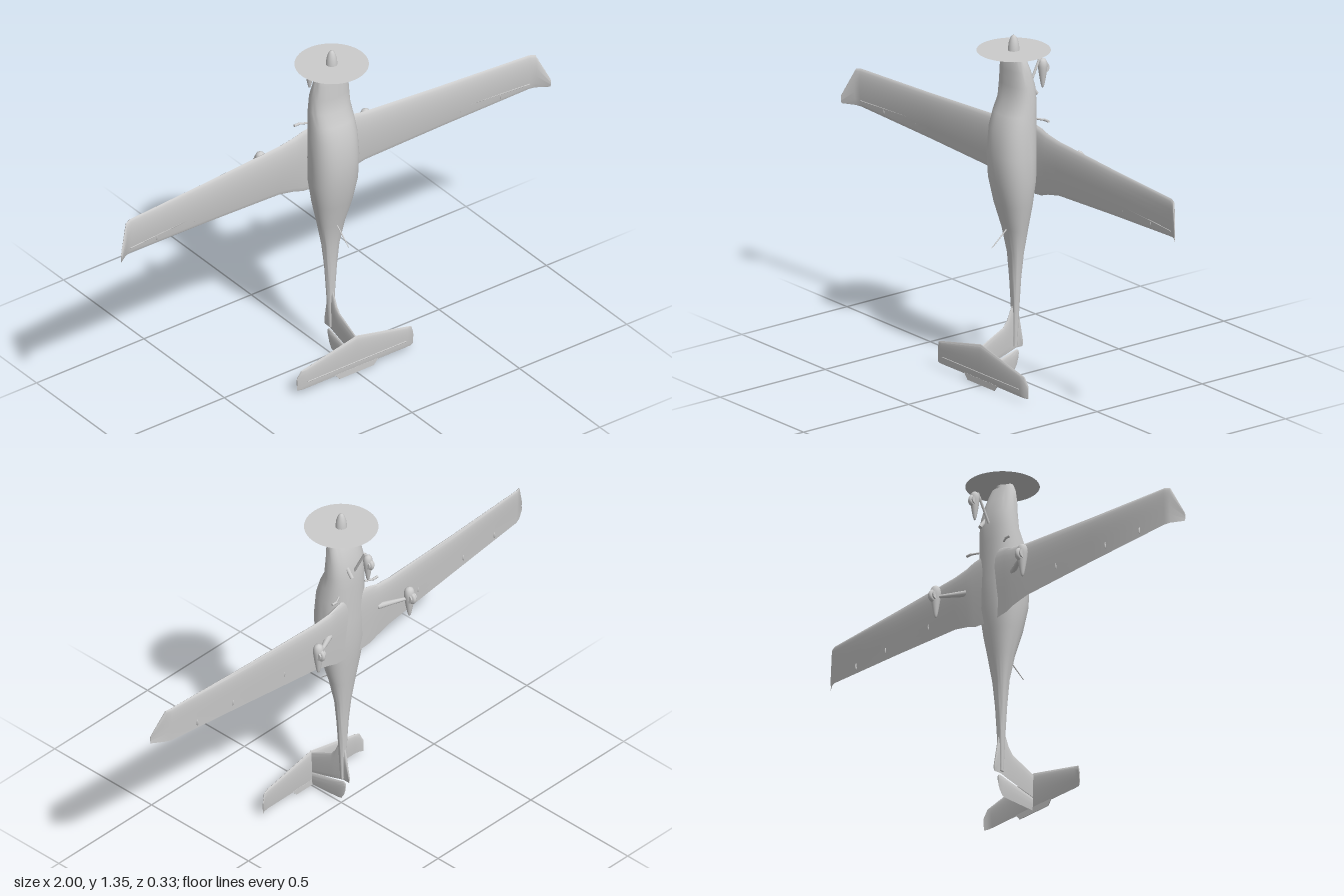
import * as THREE from 'three';
import { toCreasedNormals } from 'three/addons/utils/BufferGeometryUtils.js';

const material = new THREE.MeshStandardMaterial({ color: 0xcccccc });
const thin = new THREE.MeshStandardMaterial({ color: 0xcccccc, side: THREE.DoubleSide });
const V = (x, y, z) => new THREE.Vector3(x, y, z);

function part(parent, name, geometry, mat = material) {
  const mesh = new THREE.Mesh(geometry, mat);
  mesh.name = name;
  parent.add(mesh);
  return mesh;
}

// Skin a list of equal-sized rings, cap both ends, and turn the faces outward
function loft(rings, crease = 0.6) {
  const n = rings[0].length, pos = [], idx = [];
  rings.forEach(r => r.forEach(p => pos.push(p.x, p.y, p.z)));
  for (let i = 0; i < rings.length - 1; i++) {
    for (let j = 0; j < n; j++) {
      const a = i * n + j, b = i * n + (j + 1) % n;
      idx.push(a, b, b + n, a, b + n, a + n);
    }
  }
  [0, rings.length - 1].forEach((k, end) => {
    const c = rings[k].reduce((s, p) => s.add(p), V(0, 0, 0)).divideScalar(n);
    const ci = pos.length / 3;
    pos.push(c.x, c.y, c.z);
    for (let j = 0; j < n; j++) {
      const a = k * n + j, b = k * n + (j + 1) % n;
      if (end) idx.push(ci, a, b); else idx.push(ci, b, a);
    }
  });
  const at = i => V().fromArray(pos, i * 3);
  let volume = 0;
  for (let i = 0; i < idx.length; i += 3) {
    volume += at(idx[i]).dot(at(idx[i + 1]).cross(at(idx[i + 2])));
  }
  if (volume < 0) idx.reverse();
  const g = new THREE.BufferGeometry();
  g.setAttribute('position', new THREE.Float32BufferAttribute(pos, 3));
  g.setIndex(idx);
  return toCreasedNormals(g, crease);
}

// Airfoil ring from leading edge (high y) to trailing edge; place(y, offset) makes the point
function airfoil(le, te, thickness, camber, place) {
  const ring = [], n = 24;
  for (let i = 0; i < n; i++) {
    const t = (i / n) * Math.PI * 2;
    const u = (1 - Math.cos(t)) / 2;
    const f = 5 * (0.2969 * Math.sqrt(u) - 0.126 * u - 0.3516 * u * u + 0.2843 * u ** 3 - 0.1 * u ** 4);
    const side = t < Math.PI ? 1 : -1;
    ring.push(place(le - u * (le - te), side * f * thickness + camber * 4 * u * (1 - u)));
  }
  return ring;
}

// Tapered round bar between two points
function bar(parent, name, a, b, r1, r2 = r1) {
  const mesh = part(parent, name, new THREE.CylinderGeometry(r2, r1, a.distanceTo(b), 10));
  mesh.position.copy(a).add(b).multiplyScalar(0.5);
  mesh.quaternion.setFromUnitVectors(V(0, 1, 0), b.clone().sub(a).normalize());
  return mesh;
}

// Wheel with a teardrop fairing, nose toward +y
function wheelUnit(parent, name, x, y, z, size) {
  const g = new THREE.Group();
  g.name = name;
  const profile = [[0, -0.088], [0.006, -0.08], [0.013, -0.045], [0.019, -0.005], [0.02, 0.02], [0.014, 0.038], [0, 0.046]];
  const curve = new THREE.SplineCurve(profile.map(p => new THREE.Vector2(...p)));
  const pts = curve.getPoints(20).map(p => p.setX(Math.max(p.x, 0)));
  part(g, 'wheelFairing', new THREE.LatheGeometry(pts, 20));
  const tyre = part(g, 'wheel', new THREE.TorusGeometry(0.018, 0.009, 10, 24));
  tyre.rotation.y = Math.PI / 2;
  tyre.position.z = -0.007;
  const hub = part(g, 'hub', new THREE.CylinderGeometry(0.018, 0.018, 0.03, 16));
  hub.rotation.z = Math.PI / 2;
  hub.position.z = -0.007;
  g.position.set(x, y, z);
  g.scale.setScalar(size);
  parent.add(g);
}

export function createModel() {
  const model = new THREE.Group();
  model.name = 'aircraft';

  // Fuselage stations: y, half width, top z, bottom z
  const stations = [
    [0.13, 0.008, 0.002, -0.014], [0.3, 0.018, 0.008, -0.022], [0.4, 0.025, 0.012, -0.026],
    [0.5, 0.036, 0.018, -0.034], [0.6, 0.056, 0.036, -0.047], [0.7, 0.08, 0.065, -0.06],
    [0.8, 0.096, 0.086, -0.071], [0.9, 0.098, 0.093, -0.073], [1.0, 0.095, 0.083, -0.073],
    [1.06, 0.09, 0.064, -0.073], [1.11, 0.086, 0.04, -0.072], [1.17, 0.082, 0.034, -0.066],
    [1.23, 0.074, 0.032, -0.047], [1.27, 0.065, 0.028, -0.031], [1.295, 0.054, 0.02, -0.02],
  ];
  const body = stations.map(([y, w, top, bottom]) => {
    const mid = (top + bottom) / 2, h = (top - bottom) / 2, ring = [];
    for (let i = 0; i < 36; i++) {
      const t = (i / 36) * Math.PI * 2, c = Math.cos(t), s = Math.sin(t);
      ring.push(V(w * Math.sign(c) * Math.abs(c) ** 0.85, y, mid + h * Math.sign(s) * Math.abs(s) ** 0.85));
    }
    return ring;
  });
  part(model, 'fuselage', loft(body, 0.7));

  // Spinner and propeller disc
  const spin = [[0.022, 1.285], [0.022, 1.305], [0.019, 1.33], [0.012, 1.352], [0.005, 1.36], [0, 1.361]];
  part(model, 'spinner', new THREE.LatheGeometry(spin.map(p => new THREE.Vector2(...p)), 24));
  const disc = part(model, 'propellerDisc', new THREE.CircleGeometry(0.139, 48), thin);
  disc.rotation.x = -Math.PI / 2;
  disc.position.y = 1.302;

  // Wing stations: x, leading edge, trailing edge, z, thickness
  const wing = [
    [0, 1.02, 0.73, -0.058, 0.026], [0.09, 1.005, 0.738, -0.06, 0.028], [0.13, 0.992, 0.752, -0.06, 0.028],
    [0.2, 0.983, 0.768, -0.057, 0.026], [0.55, 0.973, 0.793, -0.037, 0.021],
    [0.93, 0.967, 0.817, -0.014, 0.015], [0.953, 0.963, 0.819, -0.006, 0.013], [1.0, 0.855, 0.82, 0.025, 0.003],
  ];
  for (const s of [1, -1]) {
    const side = s > 0 ? 'left' : 'right';
    part(model, side + 'Wing', loft(wing.map(([x, le, te, z, t]) =>
      airfoil(le, te, t, 0.003, (y, o) => V(s * x, y, z + o)))));
    bar(model, side + 'AileronGap', V(s * 0.63, 0.849, -0.026), V(s * 0.93, 0.841, -0.009), 0.002);

    // Control hinges under the wing
    for (const x of [0.36, 0.62, 0.8]) {
      const hinge = part(model, side + 'Hinge', new THREE.SphereGeometry(0.012, 10, 8));
      hinge.scale.set(0.3, 1.2, 0.6);
      hinge.position.set(s * x, 0.835, -0.058 + (x - 0.2) * 0.06);
    }

    // Main landing gear
    bar(model, side + 'GearLeg', V(s * 0.13, 0.89, -0.062), V(s * 0.235, 0.897, -0.115), 0.013, 0.006);
    wheelUnit(model, side + 'MainWheel', s * 0.245, 0.9, -0.117, 1);

    // Boarding step
    bar(model, side + 'Step', V(s * 0.07, 1.037, -0.055), V(s * 0.1, 1.037, -0.07), 0.004);
    bar(model, side + 'StepTread', V(s * 0.097, 1.037, -0.07), V(s * 0.122, 1.037, -0.07), 0.005);
  }

  // Nose gear and exhaust
  bar(model, 'noseGearLeg', V(0, 1.13, -0.068), V(0, 1.238, -0.122), 0.005);
  bar(model, 'noseFork', V(0, 1.238, -0.122), V(0, 1.195, -0.14), 0.006);
  wheelUnit(model, 'noseWheel', 0, 1.2, -0.138, 0.88);
  bar(model, 'exhaust', V(0.03, 1.16, -0.055), V(0.03, 1.12, -0.085), 0.008);

  // Upright tail surfaces, stations: z, leading edge, trailing edge, thickness
  const upright = (name, rows) => part(model, name, loft(rows.map(([z, le, te, t]) =>
    airfoil(le, te, t, 0, (y, o) => V(o, y, z)))));
  upright('fin', [[-0.012, 0.32, 0.122, 0.012], [0.01, 0.29, 0.115, 0.012], [0.03, 0.24, 0.108, 0.012],
    [0.05, 0.215, 0.102, 0.011], [0.152, 0.165, 0.072, 0.009]]);
  upright('rudder', [[-0.022, 0.11, 0.08, 0.006], [-0.015, 0.116, 0.055, 0.009], [0, 0.112, 0.031, 0.01],
    [0.02, 0.106, 0.027, 0.01], [0.148, 0.07, 0.017, 0.008]]);
  upright('ventralFin', [[-0.008, 0.3, 0.122, 0.012], [-0.022, 0.265, 0.122, 0.011], [-0.042, 0.15, 0.122, 0.006]]);

  // Tailplane with tips bent slightly down
  const tail = [[0, 0.172, 0.03, 0.155, 0.014], [0.235, 0.12, 0.029, 0.155, 0.01],
    [0.256, 0.113, 0.028, 0.152, 0.008], [0.27, 0.08, 0.027, 0.145, 0.004]];
  const mirrored = [...tail.slice(1).reverse().map(r => [-r[0], ...r.slice(1)]), ...tail];
  part(model, 'tailplane', loft(mirrored.map(([x, le, te, z, t]) =>
    airfoil(le, te, t, 0, (y, o) => V(x, y, z + o)))));
  const tab = new THREE.Shape([[-0.1, 0.034], [-0.08, 0.01], [0.08, 0.01], [0.1, 0.034]].map(p => new THREE.Vector2(...p)));
  part(model, 'trimTab', new THREE.ExtrudeGeometry(tab, { depth: 0.003, bevelEnabled: false })).position.z = 0.1535;
  bar(model, 'elevatorGap', V(-0.23, 0.058, 0.158), V(0.23, 0.058, 0.158), 0.0022);

  // Whip antenna on the rear top
  bar(model, 'antenna', V(0, 0.6, 0.034), V(0, 0.54, 0.105), 0.003, 0.0015);

  // Stand the lowest edge on the ground
  model.children.forEach(c => { c.position.y -= 0.01; });
  return model;
}
